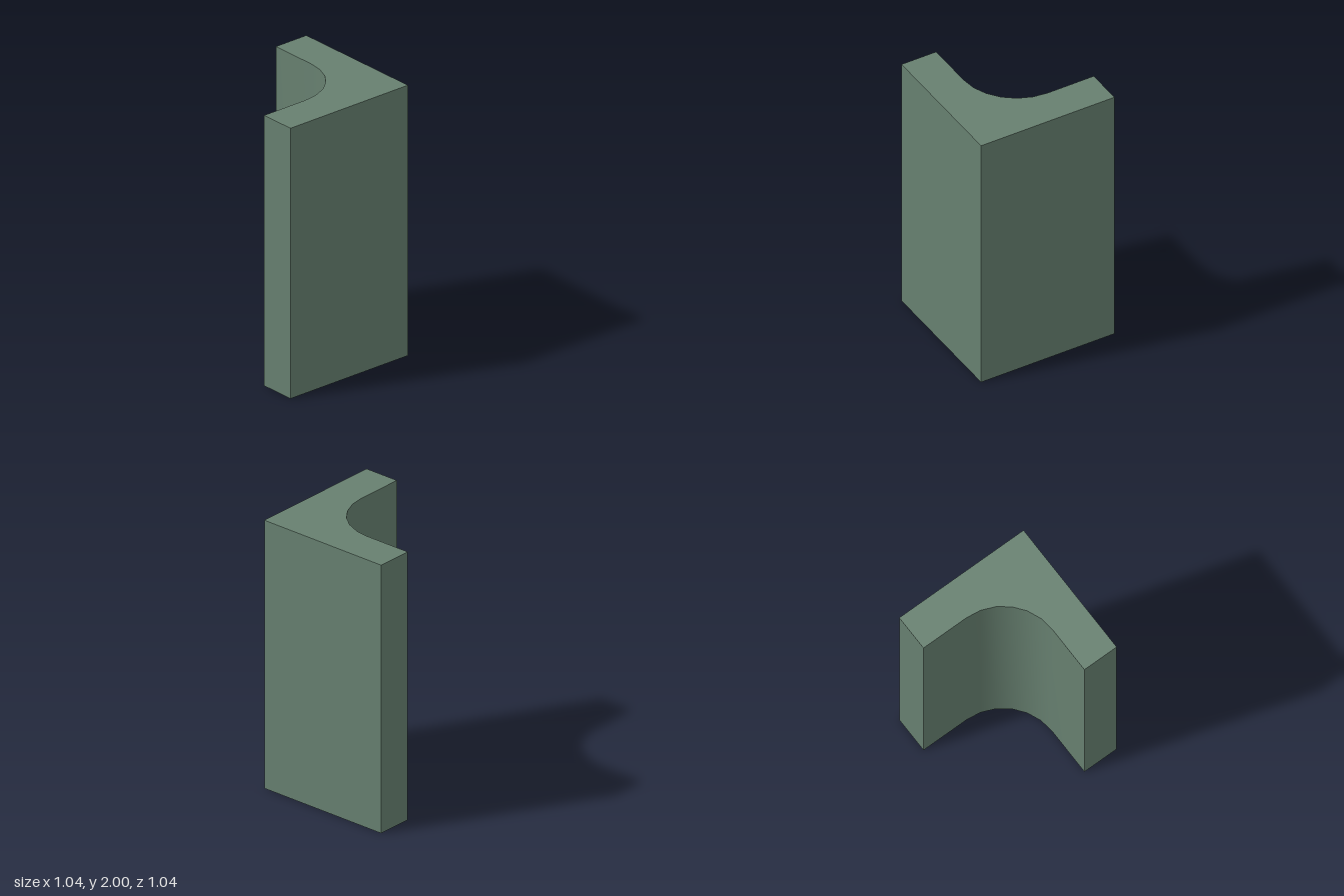
import * as THREE from 'three';
import { toCreasedNormals } from 'three/addons/utils/BufferGeometryUtils.js';

const HALF = 0.52;   // half width of the footprint
const INNER = 0.25;  // inner faces of the two wings
const RADIUS = 0.41; // fillet in the inner corner
const HEIGHT = 2;

export function createModel() {
  const group = new THREE.Group();
  group.name = 'cornerWall';

  // L-shaped plan with a rounded inner corner (shape y is -z)
  const plan = new THREE.Shape();
  const c = INNER - RADIUS;
  plan.moveTo(HALF, -HALF);
  plan.lineTo(HALF, HALF);
  plan.lineTo(-HALF, HALF);
  plan.lineTo(-HALF, INNER);
  plan.lineTo(c, INNER);
  plan.absarc(c, c, RADIUS, Math.PI / 2, 0, true);
  plan.lineTo(INNER, -HALF);
  plan.closePath();

  // Raise the plan upright; smooth the fillet, keep the corners sharp
  const solid = new THREE.ExtrudeGeometry(plan, { depth: HEIGHT, curveSegments: 3, bevelEnabled: false });
  solid.rotateX(-Math.PI / 2);
  const wall = new THREE.Mesh(
    toCreasedNormals(solid, 0.5),
    new THREE.MeshStandardMaterial({ color: 0x678070 })
  );
  wall.name = 'wall';
  group.add(wall);
  return group;
}
